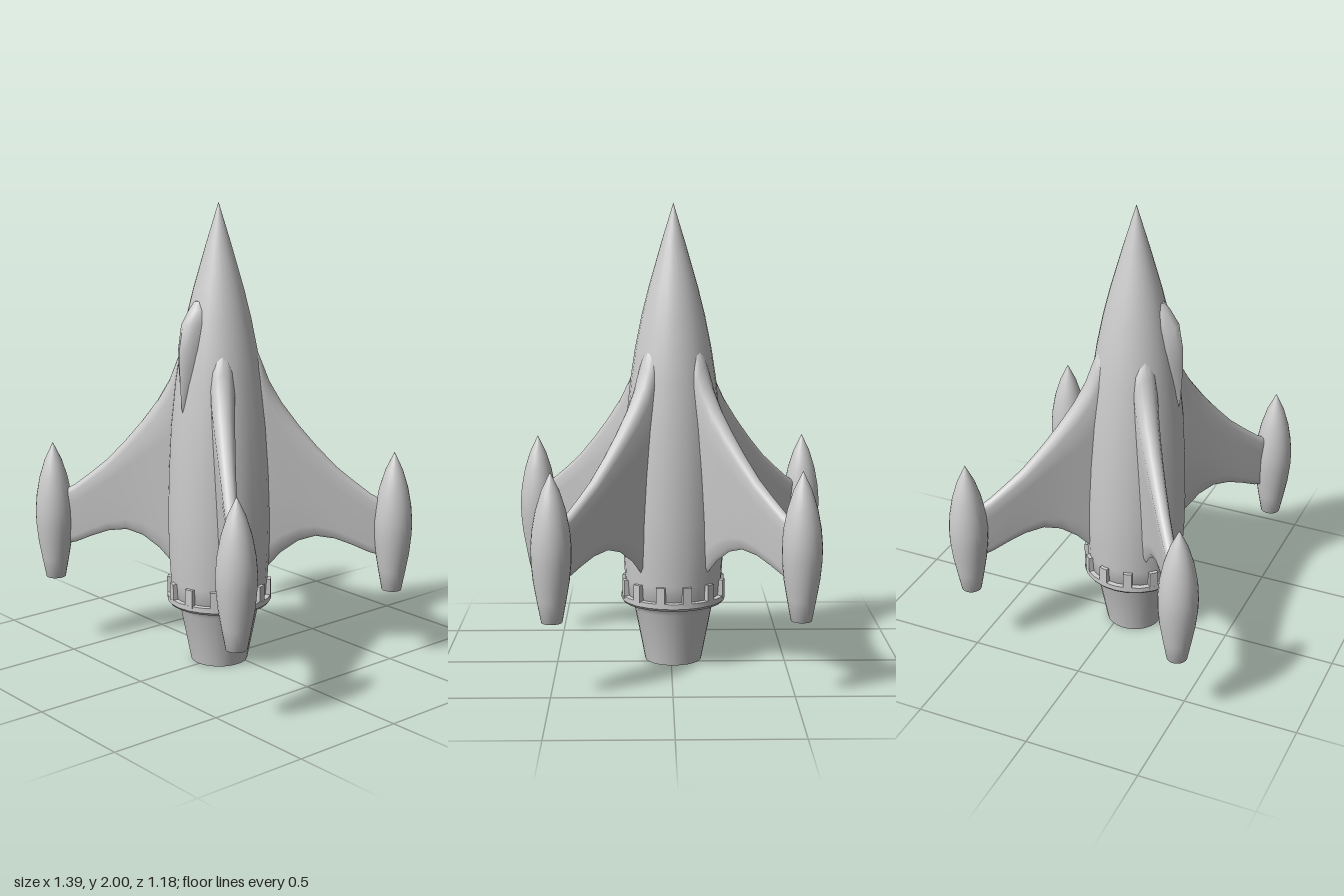
import * as THREE from 'three';
import { toCreasedNormals } from 'three/addons/utils/BufferGeometryUtils.js';

const material = new THREE.MeshStandardMaterial({ color: 0xcccccc, side: THREE.DoubleSide });
const CENTRE = new THREE.Vector3(-0.01, 0, 0.057);

function part(name, geometry, parent) {
  const mesh = new THREE.Mesh(geometry, material);
  mesh.name = name;
  parent.add(mesh);
  return mesh;
}

const lathe = (points, sides) =>
  new THREE.LatheGeometry(points.map(([r, y]) => new THREE.Vector2(r, y)), sides);

// Skins a list of equal-sized rings of [x, y, z] points and closes both ends.
function loft(rings, crease) {
  const n = rings[0].length;
  const positions = rings.flat(2);
  const index = [];
  for (let i = 0; i < rings.length - 1; i++) {
    for (let j = 0; j < n; j++) {
      const a = i * n + j, b = i * n + (j + 1) % n;
      index.push(a, b, b + n, a, b + n, a + n);
    }
  }
  const last = (rings.length - 1) * n;
  for (let j = 1; j < n - 1; j++) {
    index.push(0, j + 1, j, last, last + j, last + j + 1);
  }
  const geometry = new THREE.BufferGeometry();
  geometry.setAttribute('position', new THREE.Float32BufferAttribute(positions, 3));
  geometry.setIndex(index);
  return toCreasedNormals(geometry, crease);
}

// Swept fin running outward along +x: each station is [reach, trailing y, leading y, half thickness].
function finGeometry() {
  const stations = [
    [0.1, 0.38, 1.42, 0.048], [0.16, 0.39, 1.385, 0.05], [0.19, 0.4, 1.31, 0.05],
    [0.215, 0.425, 1.245, 0.048], [0.27, 0.485, 1.15, 0.043], [0.345, 0.538, 1.05, 0.037],
    [0.42, 0.56, 0.962, 0.032], [0.505, 0.548, 0.872, 0.028], [0.58, 0.52, 0.81, 0.025],
    [0.655, 0.487, 0.752, 0.023], [0.72, 0.47, 0.715, 0.02],
  ];
  // Thickness from leading edge (1) down to trailing edge (0)
  const section = [[1, 0], [0.985, 0.45], [0.95, 0.8], [0.89, 1], [0.7, 0.88], [0.4, 0.62], [0.12, 0.4], [0.03, 0.27], [0, 0]];
  const outline = [...section, ...section.slice(1, -1).reverse().map(([v, t]) => [v, -t])];
  return loft(stations.map(([r, low, high, w]) =>
    outline.map(([v, t]) => [r, low + (high - low) * v, t * w])), 0.7);
}

// Teardrop canopy: each station is [y, half width, front z].
function canopyGeometry() {
  const stations = [
    [1.1, 0.004, 0.19], [1.15, 0.02, 0.203], [1.25, 0.041, 0.21], [1.33, 0.052, 0.213],
    [1.4, 0.058, 0.212], [1.5, 0.056, 0.194], [1.56, 0.046, 0.152], [1.595, 0.022, 0.128],
  ];
  const base = 0.08, steps = 14;
  return loft(stations.map(([y, w, front]) => Array.from({ length: steps }, (_, i) => {
    const a = i / steps * Math.PI * 2;
    return [Math.sin(a) * w, y, base + Math.cos(a) * (front - base)];
  })), 0.9);
}

export function createModel() {
  const model = new THREE.Group();
  model.name = 'rocket';
  const ship = new THREE.Group();
  ship.name = 'ship';
  ship.position.copy(CENTRE);
  model.add(ship);

  // Hull and open nozzle
  part('hull', lathe([
    [0.17, 0.27], [0.206, 0.28], [0.212, 0.37], [0.22, 0.5], [0.222, 0.65], [0.217, 0.85],
    [0.206, 1.05], [0.185, 1.25], [0.165, 1.38], [0.137, 1.52], [0.107, 1.64],
    [0.055, 1.82], [0, 2],
  ], 24), ship);
  part('nozzle', lathe([[0.124, 0], [0.17, 0.235], [0.205, 0.275]], 24), ship);

  // Toothed collar
  const collar = new THREE.Group();
  collar.name = 'collar';
  ship.add(collar);
  part('collarBand', toCreasedNormals(lathe([
    [0.19, 0.265], [0.219, 0.267], [0.228, 0.278], [0.228, 0.3], [0.205, 0.302],
  ], 24), 0.6), collar);
  const tooth = new THREE.BoxGeometry(0.038, 0.08, 0.03);
  for (let i = 0; i < 12; i++) {
    const a = (i + 0.5) / 12 * Math.PI * 2;
    const mesh = part('collarTooth', tooth, collar);
    mesh.position.set(Math.sin(a) * 0.212, 0.33, Math.cos(a) * 0.212);
    mesh.rotation.y = a;
  }

  part('canopy', canopyGeometry(), ship);

  // Four fins, each carrying a hollow-tailed pod
  const fin = finGeometry();
  const pod = lathe([
    [0.038, 0.36], [0.043, 0.32], [0.06, 0.41], [0.074, 0.49], [0.082, 0.57], [0.083, 0.63],
    [0.077, 0.7], [0.062, 0.78], [0.037, 0.86], [0, 0.937],
  ], 24);
  for (const degrees of [34.7, 143.4, 227.4, 311.5]) {
    const arm = new THREE.Group();
    arm.name = 'finWithPod';
    arm.rotation.y = -THREE.MathUtils.degToRad(degrees);
    part('fin', fin, arm);
    part('pod', pod, arm).position.x = 0.755;
    ship.add(arm);
  }
  return model;
}
